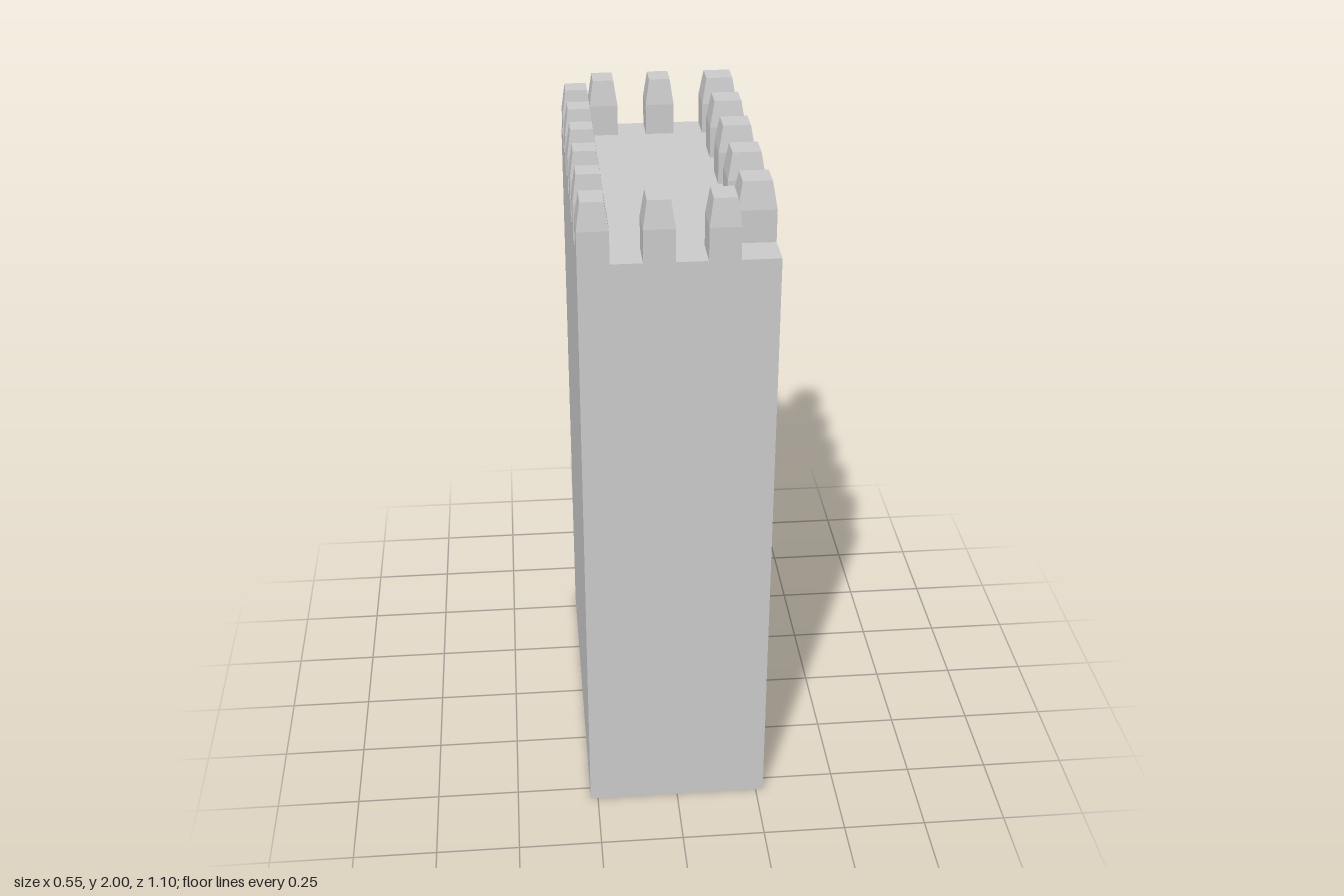
import * as THREE from 'three';

const W = 0.546, D = 1.1, DECK = 1.828, TOP = 2, SHOULDER = 1.922;
const material = new THREE.MeshStandardMaterial({ color: 0xcccccc, flatShading: true });

// Upright block whose upper half tapers in to a smaller flat top
function merlonGeometry(width, depth, inset) {
  const height = TOP - DECK;
  const geo = new THREE.BoxGeometry(width, height, depth, 1, 2, 1);
  geo.translate(0, height / 2, 0);
  const pos = geo.attributes.position;
  for (let i = 0; i < pos.count; i++) {
    const y = pos.getY(i);
    if (y > height * 0.9) {
      pos.setX(i, pos.getX(i) - Math.sign(pos.getX(i)) * inset);
      pos.setZ(i, pos.getZ(i) - Math.sign(pos.getZ(i)) * inset);
    } else if (y > height * 0.1) {
      pos.setY(i, SHOULDER - DECK);
    }
  }
  geo.computeVertexNormals();
  return geo;
}

// Evenly spaced merlons, starting at the centre (x, z) and stepping by (dx, dz)
function merlonRow(name, geo, count, x, z, dx, dz) {
  const row = new THREE.Group();
  row.name = name;
  for (let i = 0; i < count; i++) {
    const merlon = new THREE.Mesh(geo, material);
    merlon.name = 'merlon';
    merlon.position.set(x + dx * i, DECK, z + dz * i);
    row.add(merlon);
  }
  return row;
}

export function createModel() {
  const group = new THREE.Group();
  group.name = 'tower';

  // Solid tower body
  const body = new THREE.Mesh(new THREE.BoxGeometry(W, DECK, D), material);
  body.name = 'towerBody';
  body.position.y = DECK / 2;
  group.add(body);

  // Battlements: wide blocks on the left side, narrow ones on the other three
  const wide = merlonGeometry(0.108, 0.108, 0.0135);
  const narrow = merlonGeometry(0.087, 0.088, 0.0105);
  const end = merlonGeometry(0.087, 0.107, 0.0115);
  const back = merlonGeometry(0.087, 0.104, 0.0115);
  group.add(
    merlonRow('leftBattlements', wide, 5, W / 2 - 0.054, -D / 2 + 0.054, 0, 0.2205),
    merlonRow('rightBattlements', narrow, 5, -W / 2 + 0.0435, -0.408, 0, 0.178),
    merlonRow('frontBattlements', end, 3, -W / 2 + 0.0435, D / 2 - 0.0535, 0.175, 0),
    merlonRow('backBattlements', back, 2, -0.143, -D / 2 + 0.052, 0.175, 0)
  );
  return group;
}
